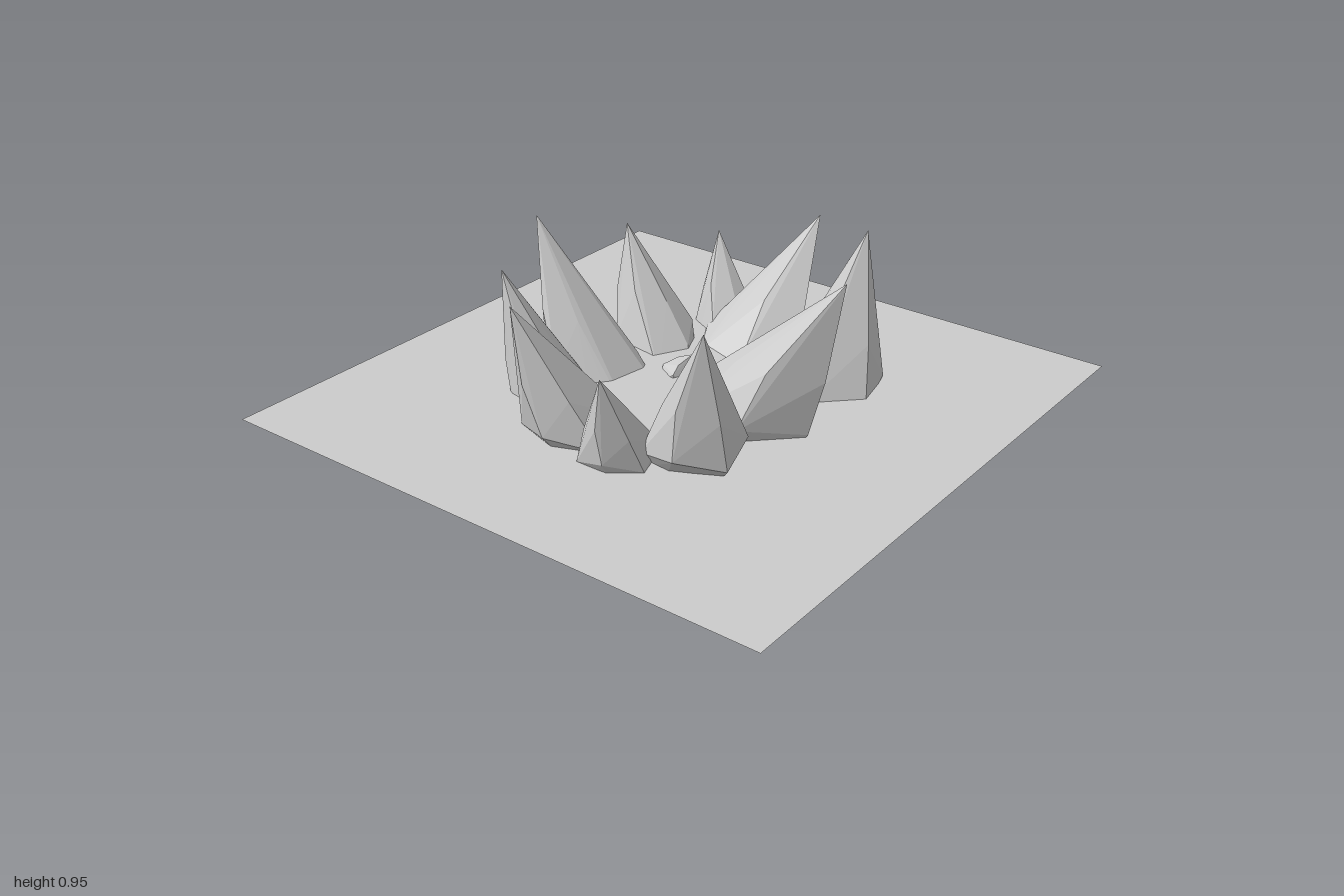
import * as THREE from 'three';
import { ConvexGeometry } from 'three/addons/geometries/ConvexGeometry.js';

const material = new THREE.MeshStandardMaterial({ color: 0xcccccc, flatShading: true });
const V = (p) => new THREE.Vector3(...p);

// Faceted spike: point, shoulder, belly, flank and root rings, foot.
// rx, rz = belly half-widths; root = centre of the root ring, rootSize = its share of the belly.
function spike(name, tip, belly, rx, rz, foot, root, rootSize, turn) {
  const t = V(tip), b = V(belly), f = V(foot), r = V(root);
  const points = [t, f];
  const ring = (c, scale, sides, tilt) => {
    for (let i = 0; i < sides; i++) {
      const a = turn + (i / sides) * Math.PI * 2;
      points.push(new THREE.Vector3(
        c.x + Math.cos(a) * rx * scale,
        c.y + (i % 2 ? tilt : -tilt),
        c.z + Math.sin(a) * rz * scale));
    }
  };
  ring(b.clone().lerp(t, 0.38), 0.7, 5, 0.02);
  ring(b, 1.04, 6, 0.02);
  ring(b.clone().lerp(r, 0.6), 0.92, 6, 0.02);
  ring(r, rootSize, 5, 0.01);
  const mesh = new THREE.Mesh(new ConvexGeometry(points), material);
  mesh.name = name;
  return mesh;
}

export function createModel() {
  const group = new THREE.Group();
  group.name = 'spikeRing';

  // Flat ground sheet the spikes break through
  const sheet = new THREE.Mesh(
    new THREE.PlaneGeometry(2, 2).rotateX(-Math.PI / 2),
    new THREE.MeshStandardMaterial({ color: 0xcccccc, side: THREE.DoubleSide }));
  sheet.position.y = 0.43;
  sheet.name = 'groundSheet';
  group.add(sheet);

  // Ring of spikes, front to back: tip, belly, half-widths, foot, root, root size, turn
  group.add(
    spike('frontSpike', [-0.21, 0.89, 0.58], [-0.12, 0.45, 0.39], 0.18, 0.17, [-0.09, 0.1, 0.2], [-0.09, 0.17, 0.2], 0.6, 0.5),
    spike('smallFrontSpike', [0.14, 0.76, 0.59], [0.095, 0.45, 0.46], 0.12, 0.125, [0.1, 0.27, 0.42], [0.08, 0.31, 0.39], 0.6, 0.2),
    spike('frontLeftSpike', [0.385, 0.91, 0.42], [0.285, 0.48, 0.33], 0.16, 0.155, [0.15, 0.26, 0.22], [0.15, 0.3, 0.22], 0.65, 0.3),
    spike('frontRightSpike', [-0.5, 0.84, 0.31], [-0.35, 0.37, 0.24], 0.155, 0.13, [-0.25, 0, 0.16], [-0.23, 0.13, 0.09], 1, 0),
    spike('leftSpike', [0.565, 0.95, -0.045], [0.25, 0.46, -0.02], 0.23, 0.215, [0.12, 0.16, 0], [0.12, 0.22, 0], 0.6, 0.15),
    spike('rightSpike', [-0.59, 0.92, 0.04], [-0.38, 0.45, 0.02], 0.13, 0.18, [-0.17, 0.17, 0.02], [-0.16, 0.22, 0.01], 0.65, 0.5),
    spike('backRightSpike', [-0.5, 0.8, -0.32], [-0.35, 0.46, -0.28], 0.15, 0.115, [-0.22, 0.25, -0.2], [-0.21, 0.28, -0.18], 0.65, 0.1),
    spike('smallBackSpike', [-0.31, 0.73, -0.6], [-0.22, 0.44, -0.52], 0.11, 0.09, [-0.2, 0.26, -0.46], [-0.18, 0.29, -0.43], 0.6, 0.4),
    spike('backSpike', [0.045, 0.84, -0.705], [-0.04, 0.43, -0.41], 0.19, 0.13, [-0.03, 0.18, -0.2], [-0.03, 0.23, -0.2], 0.7, 0.2),
    spike('backLeftSpike', [0.385, 0.945, -0.455], [0.32, 0.42, -0.36], 0.18, 0.17, [0.31, 0.08, -0.32], [0.23, 0.18, -0.22], 0.95, 0.3),
    // Small splinter in the middle
    spike('middleSplinter', [-0.1, 0.47, -0.17], [-0.12, 0.42, -0.1], 0.05, 0.05, [-0.12, 0.3, -0.08], [-0.11, 0.32, -0.08], 0.55, 0));

  return group;
}
